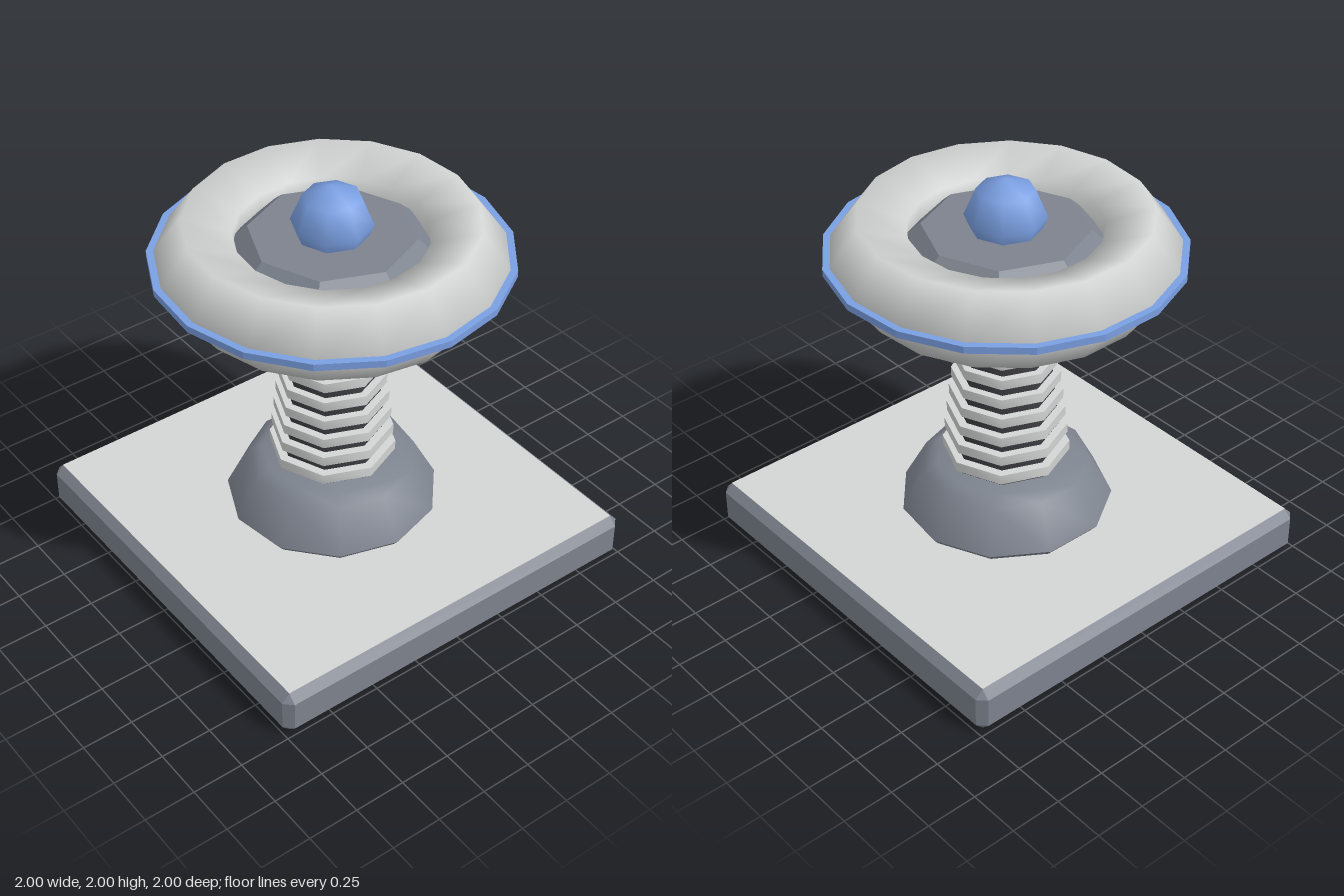
import * as THREE from 'three';
import { toCreasedNormals } from 'three/addons/utils/BufferGeometryUtils.js';
import { ConvexGeometry } from 'three/addons/geometries/ConvexGeometry.js';

function material(name, color) {
  const m = new THREE.MeshStandardMaterial({ color });
  m.name = name;
  return m;
}

export function createModel() {
  const slate = material('slate', 0x7d838e);
  const light = material('lightGrey', 0xd3d4d4);
  const dark = material('darkGrey', 0x3c3c41);
  const blue = material('blue', 0x7a9fe2);
  const model = new THREE.Group();

  function add(name, geometry, mat, y = 0) {
    const mesh = new THREE.Mesh(geometry, mat);
    mesh.name = name;
    mesh.position.y = y;
    model.add(mesh);
    return mesh;
  }

  // Turned part with its first corner on +x; edges steeper than crease stay sharp
  function turned(profile, sides, crease) {
    const points = profile.map(([r, y]) => new THREE.Vector2(r, y));
    const geometry = new THREE.LatheGeometry(points, sides);
    geometry.rotateY(Math.PI / 2);
    return toCreasedNormals(geometry, crease);
  }

  // Square base with every edge bevelled
  const half = [1, 0.115, 1], bevel = 0.04, corners = [];
  for (const sx of [-1, 1]) for (const sy of [-1, 1]) for (const sz of [-1, 1]) {
    for (let face = 0; face < 3; face++) {
      const c = half.map((h, axis) => (axis === face ? h : h - bevel));
      corners.push(new THREE.Vector3(sx * c[0], sy * c[1], sz * c[2]));
    }
  }
  add('base', new ConvexGeometry(corners), slate, 0.115);
  const plate = new THREE.BoxGeometry(1.92, 0.004, 1.92);
  add('baseTopPlate', plate, light, 0.23);
  add('baseBottomPlate', plate, light, 0.0015);

  // Sloping foot
  add('foot', turned([
    [0, 0.23], [0.485, 0.23], [0.515, 0.265], [0.405, 0.47], [0.34, 0.505], [0, 0.505],
  ], 11, 1.0), slate);

  // Tapered column and its stack of windings
  add('column', turned([[0, 0.5], [0.27, 0.5], [0.173, 1.47], [0, 1.47]], 8, 1.0), dark);
  for (let i = 0; i < 9; i++) {
    const r = 0.305 - i * 0.0114;
    add('winding' + (i + 1), turned(
      [[0, -0.025], [r, -0.025], [r, 0.025], [0, 0.025]], 8, 1.0), light, 0.56 + i * 0.1);
  }

  // Eight-sided hub filling the middle of the ring
  add('hub', turned([
    [0, 1.455], [0.385, 1.455], [0.49, 1.56], [0.49, 1.66], [0.385, 1.755], [0, 1.755],
  ], 8, 0.3), slate);

  // Large ring with a five-sided section, and the band around its rim
  const ring = new THREE.TorusGeometry(0.611, 0.203, 5, 17);
  ring.rotateX(Math.PI / 2);
  add('ring', ring, light, 1.637);
  add('rimBand', turned([
    [0.74, -0.017], [0.835, -0.017], [0.835, 0.017], [0.74, 0.017],
  ], 17, 0.3), blue, 1.637);

  // Ball on top
  add('topBall', new THREE.SphereGeometry(0.19, 8, 4), blue, 1.81);

  return model;
}
